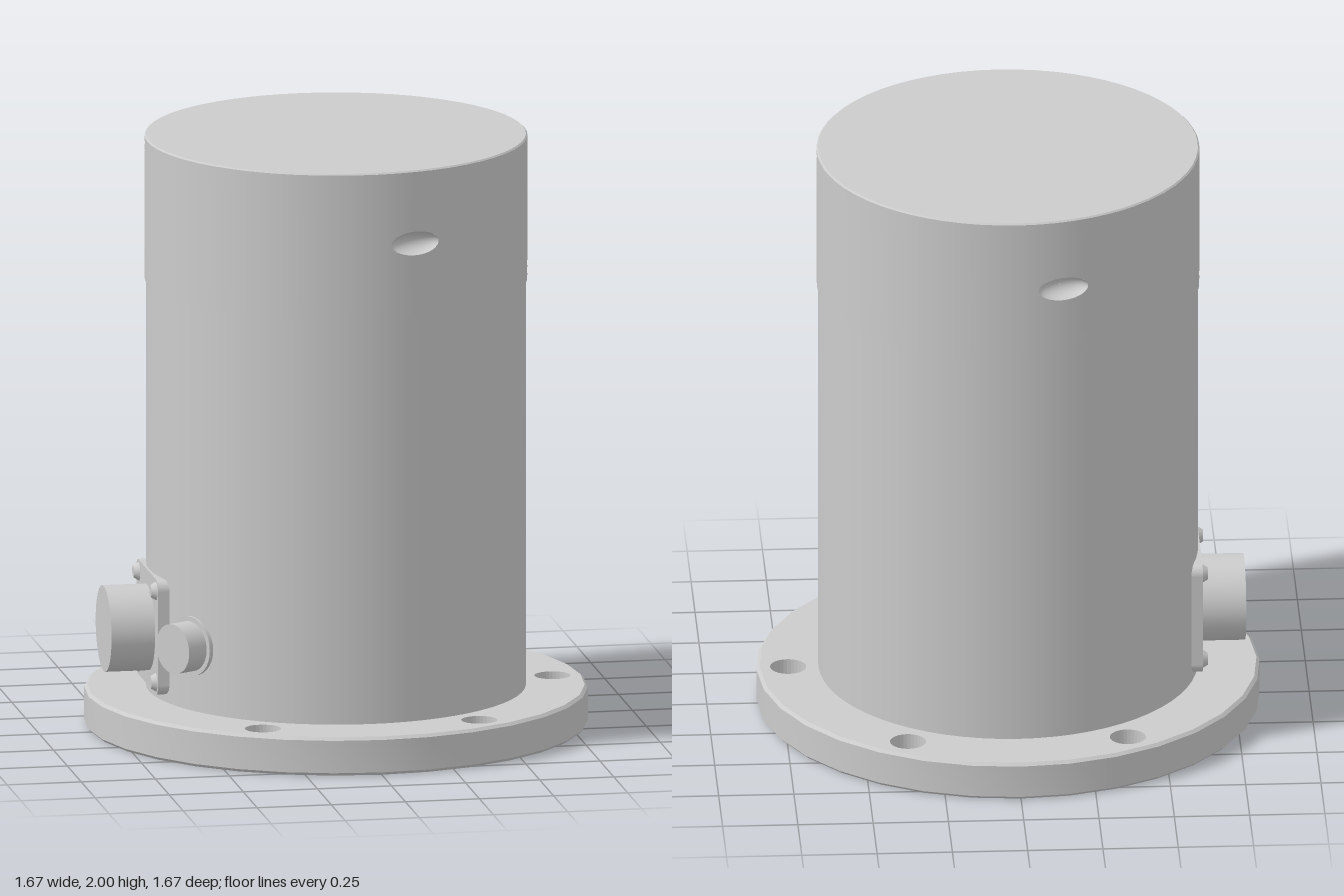
import * as THREE from 'three';
import { toCreasedNormals } from 'three/addons/utils/BufferGeometryUtils.js';
import { ParametricGeometry } from 'three/addons/geometries/ParametricGeometry.js';

const grey = new THREE.MeshStandardMaterial({ color: 0xcccccc });
const deg = Math.PI / 180;

function add(parent, name, geometry) {
  const mesh = new THREE.Mesh(geometry, grey);
  mesh.name = name;
  parent.add(mesh);
  return mesh;
}

// Turned part from [radius, y] points, bottom to top
function turned(points, segments) {
  const profile = points.map(([r, y]) => new THREE.Vector2(r, y));
  return toCreasedNormals(new THREE.LatheGeometry(profile, segments), 0.5);
}

// Cylinder along local z, from z0 to z1
function zCylinder(r0, r1, z0, z1, segments = 32) {
  return new THREE.CylinderGeometry(r1, r0, z1 - z0, segments)
    .rotateX(Math.PI / 2).translate(0, 0, (z0 + z1) / 2);
}

function circlePath(x, y, r) {
  return new THREE.Path().absarc(x, y, r, 0, Math.PI * 2);
}

// Radial slot with round ends, centred at distance d along the given angle
function slotPath(angle, d, r, half) {
  const c = Math.cos(angle), s = Math.sin(angle);
  const path = new THREE.Path();
  path.absarc(c * (d + half), s * (d + half), r, angle - Math.PI / 2, angle + Math.PI / 2);
  path.absarc(c * (d - half), s * (d - half), r, angle + Math.PI / 2, angle + Math.PI * 1.5);
  return path;
}

// Base flange: stacked plates with bolt, dowel and recess openings
function makeFlange() {
  const flange = new THREE.Group();
  flange.name = 'baseFlange';
  const bolts = r => [-120, -60, 0, 60, 120].map(a =>
    circlePath(0.73 * Math.cos(a * deg), 0.73 * Math.sin(a * deg), r));
  const dowels = () => [circlePath(0.73 * Math.cos(-100 * deg), 0.73 * Math.sin(-100 * deg), 0.03),
    slotPath(100 * deg, 0.73, 0.03, 0.015)];
  const layers = [
    [0, 0.02, [circlePath(0, 0, 0.68), ...bolts(0.036), ...dowels()]],
    [0.02, 0.06, [...bolts(0.036), ...dowels()]],
    [0.06, 0.075, bolts(0.036)],
    [0.075, 0.13, bolts(0.06)],
  ];
  for (const [y0, y1, holes] of layers) {
    const shape = new THREE.Shape().absarc(0, 0, 0.825, 0, Math.PI * 2);
    shape.holes.push(...holes);
    const plate = new THREE.ExtrudeGeometry(shape, { depth: y1 - y0, bevelEnabled: false, curveSegments: 16 });
    add(flange, 'flangePlate', plate.rotateX(-Math.PI / 2).translate(0, y0, 0));
  }
  // Chamfered outer rim
  add(flange, 'flangeRim', turned([[0.825, 0], [0.835, 0.01], [0.835, 0.12], [0.825, 0.13]], 32));
  return flange;
}

// Cap with two opposite oval sockets in its wall
function makeCap() {
  const cap = new THREE.Group();
  cap.name = 'cap';
  const R = 0.635, bottom = 1.51, top = 1.995;
  const midY = (bottom + top) / 2, halfH = (top - bottom) / 2;
  const ovalA = 0.135, ovalH = 0.04;
  add(cap, 'capTop', turned([[R, top], [0.63, 2], [0, 2]], 64));
  add(cap, 'capLip', turned([[0.6, bottom], [R, bottom]], 64));

  for (const centre of [14 * deg, 194 * deg]) {
    const place = (target, r, a, y) =>
      target.set(r * Math.sin(centre + a), midY + y, r * Math.cos(centre + a));
    // Half of the wall, spreading from the oval out to a rectangle
    add(cap, 'capWall', new ParametricGeometry((u, v, target) => {
      const c = Math.cos(-u * 2 * Math.PI), s = Math.sin(-u * 2 * Math.PI);
      const k = 1 / Math.max(Math.abs(c), Math.abs(s));
      place(target, R,
        THREE.MathUtils.lerp(c * ovalA, c * k * Math.PI / 2, v),
        THREE.MathUtils.lerp(s * ovalH, s * k * halfH, v));
    }, 96, 24));
    // Hollow of the socket
    add(cap, 'capSocket', new ParametricGeometry((u, v, target) => {
      const f = 0.02 + 0.98 * v, t = -u * 2 * Math.PI;
      place(target, R - 0.05 * Math.sqrt(Math.max(0, 1 - f * f)),
        f * ovalA * Math.cos(t), f * ovalH * Math.sin(t));
    }, 48, 12));
  }
  return cap;
}

// Large connector: square plate, four screws and a round shell
function makeLargeConnector() {
  const connector = new THREE.Group();
  connector.name = 'largeConnector';
  const h = 0.195, r = 0.035, c = h - r;
  const outline = new THREE.Shape();
  outline.absarc(c, c, r, 0, Math.PI / 2);
  outline.absarc(-c, c, r, Math.PI / 2, Math.PI);
  outline.absarc(-c, -c, r, Math.PI, Math.PI * 1.5);
  outline.absarc(c, -c, r, Math.PI * 1.5, Math.PI * 2);
  const plate = new THREE.ExtrudeGeometry(outline, { depth: 0.052, bevelEnabled: false, curveSegments: 6 });
  add(connector, 'connectorPlate', plate.translate(0, 0, 0.585));
  add(connector, 'connectorShell', zCylinder(0.144, 0.144, 0.6, 0.784));
  for (const x of [-0.155, 0.155]) {
    for (const y of [-0.155, 0.155]) {
      add(connector, 'plateScrew', zCylinder(0.031, 0.02, 0.637, 0.655, 16)).position.set(x, y, 0);
    }
  }
  return connector;
}

// Small connector: thin collar and a short round shell
function makeSmallConnector() {
  const connector = new THREE.Group();
  connector.name = 'smallConnector';
  add(connector, 'connectorCollar', zCylinder(0.1, 0.1, 0.6, 0.637));
  add(connector, 'connectorShell', zCylinder(0.084, 0.084, 0.6, 0.713));
  return connector;
}

export function createModel() {
  const model = new THREE.Group();
  model.name = 'cylindricalHousing';
  model.add(makeFlange());
  add(model, 'body', new THREE.CylinderGeometry(0.63, 0.63, 1.39, 64).translate(0, 0.815, 0));
  model.add(makeCap());

  const large = makeLargeConnector();
  large.rotation.y = -90 * deg;
  large.position.y = 0.35;
  const small = makeSmallConnector();
  small.rotation.y = -60 * deg;
  small.position.y = 0.35;
  model.add(large, small);
  return model;
}
